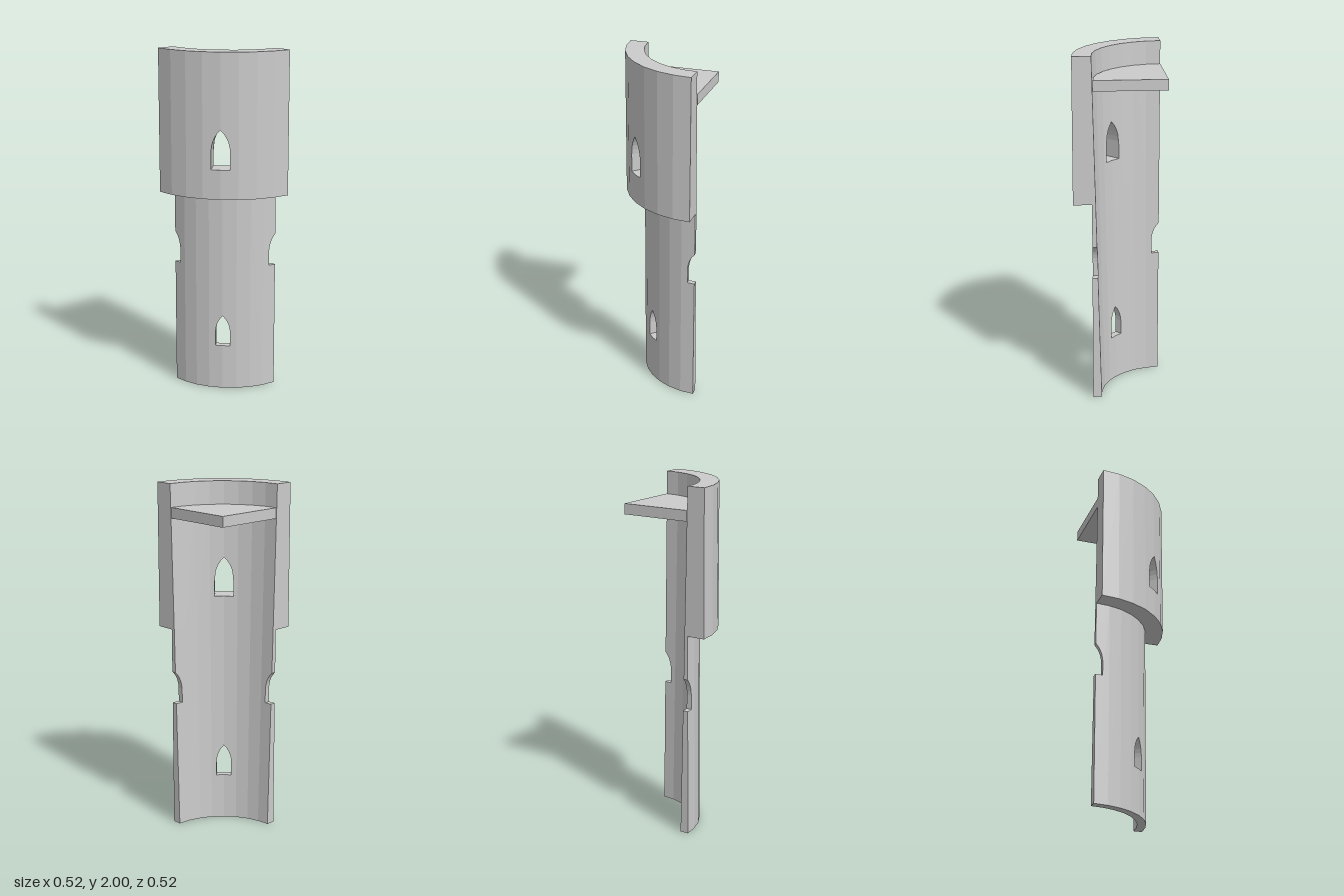
import * as THREE from 'three';
import { mergeGeometries } from 'three/addons/utils/BufferGeometryUtils.js';

const AXIS = -0.26;            // tower axis sits at x = z = AXIS
const FACETS = 8;              // facets in the quarter turn
const STEP = Math.PI / 2 / FACETS;
const SPAN = 0.1;              // nominal facet width before bending
const innerRadius = y => 0.365 + 0.025 * y;   // inside widens upwards

// One facet of wall, with an optional half pointed arch cut into its starting edge.
function wallFacet(edge, dir, y0, y1, outer, arch, openTop) {
  const shape = new THREE.Shape();
  shape.moveTo(0, y0);
  shape.lineTo(dir * SPAN, y0);
  shape.lineTo(dir * SPAN, y1);
  shape.lineTo(0, y1);
  if (arch) {
    const { w, sill, apex } = arch;
    const spring = sill + (apex - sill) * 0.45;
    shape.lineTo(0, apex);
    shape.quadraticCurveTo(dir * w * 0.93, apex - (apex - spring) * 0.38, dir * w, spring);
    shape.lineTo(dir * w, sill);
    shape.lineTo(0, sill);
  }
  shape.closePath();
  const flat = new THREE.ExtrudeGeometry(shape, { depth: 1, bevelEnabled: false, curveSegments: 5 });
  const geo = flat.index ? flat.toNonIndexed() : flat;
  const p = geo.attributes.position;
  const a0 = edge * STEP, a1 = (edge + dir) * STEP;
  const out = [];

  // Bend a flat point onto the facet; arch sides stay parallel through the wall.
  const bend = i => {
    const s = Math.abs(p.getX(i)), y = p.getY(i);
    const r = p.getZ(i) > 0.5 ? outer : innerRadius(y);
    const t = s > SPAN - 1e-5 ? 1 : s / (r * Math.sin(STEP));
    return [
      AXIS + r * THREE.MathUtils.lerp(Math.sin(a0), Math.sin(a1), t), y,
      AXIS + r * THREE.MathUtils.lerp(Math.cos(a0), Math.cos(a1), t),
    ];
  };
  const startHidden = edge > 0 && edge < FACETS;
  const endHidden = edge + dir > 0 && edge + dir < FACETS;
  for (let i = 0; i < p.count; i += 3) {
    const tri = [i, i + 1, i + 2];
    const all = test => tri.every(test);
    // Leave out the seams between neighbouring facets
    if (startHidden && all(k => Math.abs(p.getX(k)) < 1e-5)) continue;
    if (endHidden && all(k => Math.abs(p.getX(k)) > SPAN - 1e-5)) continue;
    if (openTop && all(k => p.getY(k) > y1 - 1e-5)) continue;
    tri.forEach(k => out.push(...bend(k)));
  }
  const bent = new THREE.BufferGeometry();
  bent.setAttribute('position', new THREE.Float32BufferAttribute(out, 3));
  bent.computeVertexNormals();
  return bent;
}

// Quarter ring of facets; middle and end arches are mirrored halves.
function quarterWall(y0, y1, outer, middleArch, endArch, openTop) {
  const half = FACETS / 2;
  const parts = [];
  for (let i = 0; i < half; i++) {
    for (const dir of [1, -1]) {
      if (i === 0) {
        parts.push(wallFacet(half, dir, y0, y1, outer, middleArch, openTop));
      } else {
        const edge = dir > 0 ? half - 1 - i : half + 1 + i;
        parts.push(wallFacet(edge, dir, y0, y1, outer, i === half - 1 ? endArch : null, openTop));
      }
    }
  }
  return mergeGeometries(parts);
}

export function createModel() {
  const group = new THREE.Group();
  const material = new THREE.MeshStandardMaterial({ color: 0xcccccc, flatShading: true });
  const add = (name, geometry) => {
    const mesh = new THREE.Mesh(geometry, material);
    mesh.name = name;
    group.add(mesh);
  };

  // Slim shaft with a window in the middle and half windows at the cut edges
  add('lowerWall', quarterWall(0, 1.175, 0.415,
    { w: 0.043, sill: 0.265, apex: 0.45 }, { w: 0.043, sill: 0.74, apex: 0.925 }, true));

  // Wider overhanging top storey
  add('upperWall', quarterWall(1.175, 2, 0.52, { w: 0.054, sill: 1.345, apex: 1.57 }, null, false));

  // Quarter-round floor near the top
  const floor = new THREE.Shape();
  floor.moveTo(0, 0);
  for (let i = 0; i <= FACETS; i++) {
    floor.lineTo(0.407 * Math.cos(i * STEP), 0.407 * Math.sin(i * STEP));
  }
  floor.closePath();
  add('topFloor', new THREE.ExtrudeGeometry(floor, { depth: 0.06, bevelEnabled: false })
    .rotateX(Math.PI / 2).translate(AXIS, 1.87, AXIS));

  return group;
}
